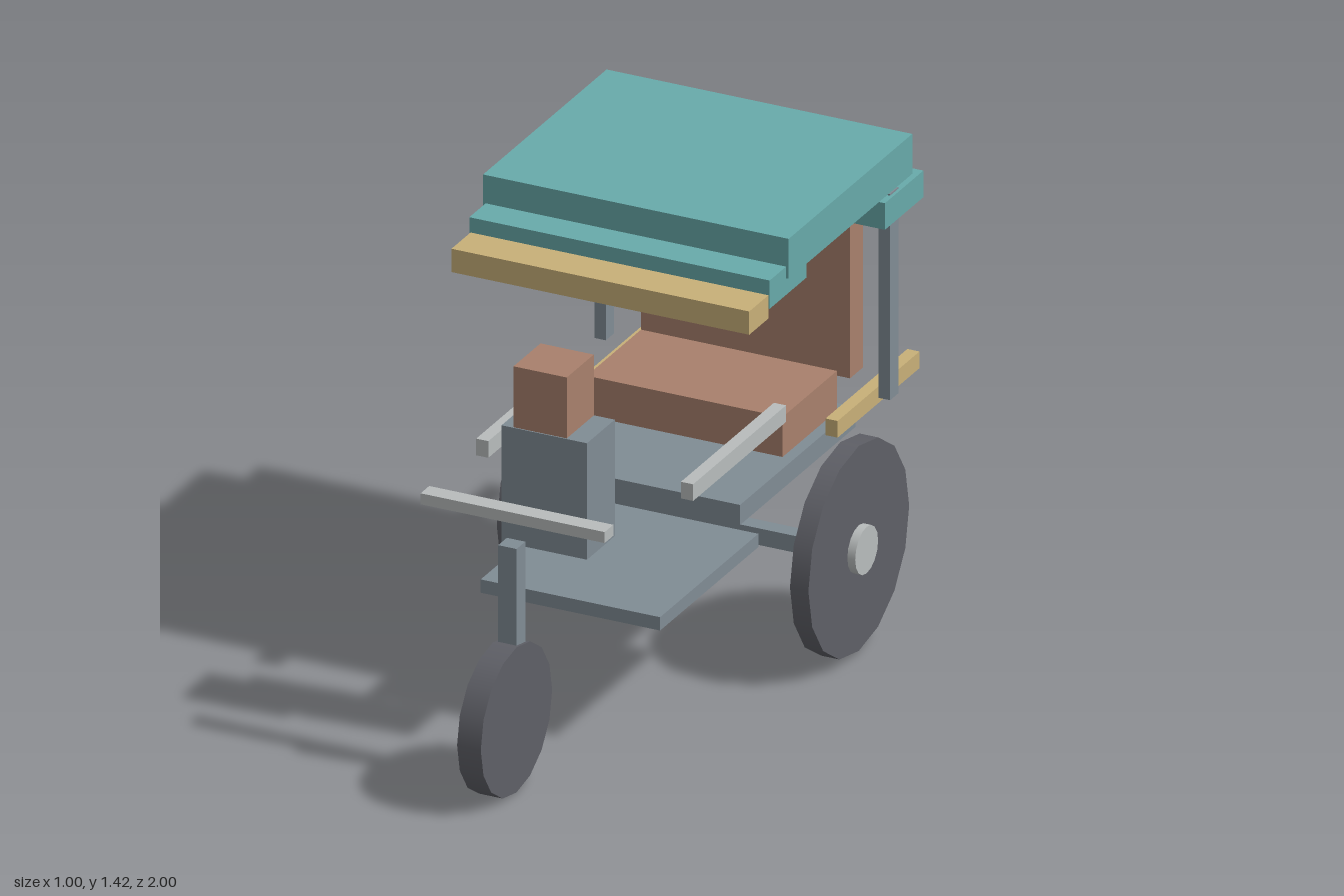
import * as THREE from 'three';

const paint = (name, color) => {
  const m = new THREE.MeshStandardMaterial({ color });
  m.name = name;
  return m;
};

export function createModel() {
  const teal = paint('canopyTeal', 0x68aaaa);
  const brown = paint('seatBrown', 0xa8806c);
  const tan = paint('trimTan', 0xc8b078);
  const steel = paint('frameGrey', 0x808c94);
  const silver = paint('railSilver', 0xb8bcbc);
  const rubber = paint('tyreDark', 0x5e5f66);

  const model = new THREE.Group();
  model.name = 'threeWheeledCart';

  // Block given by its extents along each axis
  const block = (name, mat, [x0, x1], [y0, y1], [z0, z1]) => {
    const mesh = new THREE.Mesh(new THREE.BoxGeometry(x1 - x0, y1 - y0, z1 - z0), mat);
    mesh.position.set((x0 + x1) / 2, (y0 + y1) / 2, (z0 + z1) / 2);
    mesh.name = name;
    model.add(mesh);
  };
  // Block centred across the width
  const centred = (name, mat, half, y, z) => block(name, mat, [-half, half], y, z);
  // Mirrored pair of blocks
  const pair = (name, mat, [x0, x1], y, z) => {
    block(name + 'Left', mat, [x0, x1], y, z);
    block(name + 'Right', mat, [-x1, -x0], y, z);
  };
  // Disc with its axis along x
  const disc = (name, mat, radius, width, x, y, z) => {
    const geo = new THREE.CylinderGeometry(radius, radius, width, 16).rotateZ(Math.PI / 2);
    const mesh = new THREE.Mesh(geo, mat);
    mesh.position.set(x, y, z);
    mesh.name = name;
    model.add(mesh);
  };

  // Stepped canopy
  centred('canopyTop', teal, 0.465, [1.3, 1.42], [-0.775, -0.02]);
  centred('canopyFront', teal, 0.457, [1.25, 1.335], [-0.145, 0.08]);
  centred('canopyRear', teal, 0.459, [1.195, 1.275], [-0.855, -0.62]);
  centred('canopyVisor', tan, 0.453, [1.22, 1.29], [0.08, 0.197]);
  pair('canopyPost', steel, [0.415, 0.45], [0.66, 1.28], [-0.72, -0.67]);

  // Passenger seat and rails
  centred('backrest', brown, 0.318, [0.69, 1.21], [-0.77, -0.69]);
  centred('seat', brown, 0.298, [0.605, 0.725], [-0.65, -0.318]);
  pair('armrest', silver, [0.293, 0.33], [0.735, 0.785], [-0.275, 0.293]);
  pair('rearRail', tan, [0.338, 0.375], [0.603, 0.653], [-1, -0.5]);

  // Chassis
  centred('deck', steel, 0.332, [0.545, 0.605], [-0.695, 0.01]);
  centred('footboard', steel, 0.273, [0.37, 0.41], [-0.22, 0.38]);
  centred('axle', steel, 0.43, [0.28, 0.33], [-0.455, -0.405]);

  // Simple driver figure
  centred('driverBody', steel, 0.13, [0.62, 0.97], [0.37, 0.54]);
  centred('driverHead', brown, 0.081, [0.985, 1.168], [0.4, 0.565]);

  // Steering
  centred('fork', steel, 0.028, [0.4, 0.725], [0.712, 0.765]);
  centred('handlebar', silver, 0.28, [0.782, 0.815], [0.68, 0.733]);

  // Wheels and hubs
  disc('frontWheel', rubber, 0.218, 0.072, 0, 0.22, 0.782);
  for (const s of [1, -1]) {
    const side = s > 0 ? 'Left' : 'Right';
    disc('rearWheel' + side, rubber, 0.308, 0.056, s * 0.446, 0.32, -0.43);
    disc('hub' + side, silver, 0.07, 0.06, s * 0.468, 0.32, -0.43);
  }

  return model;
}
